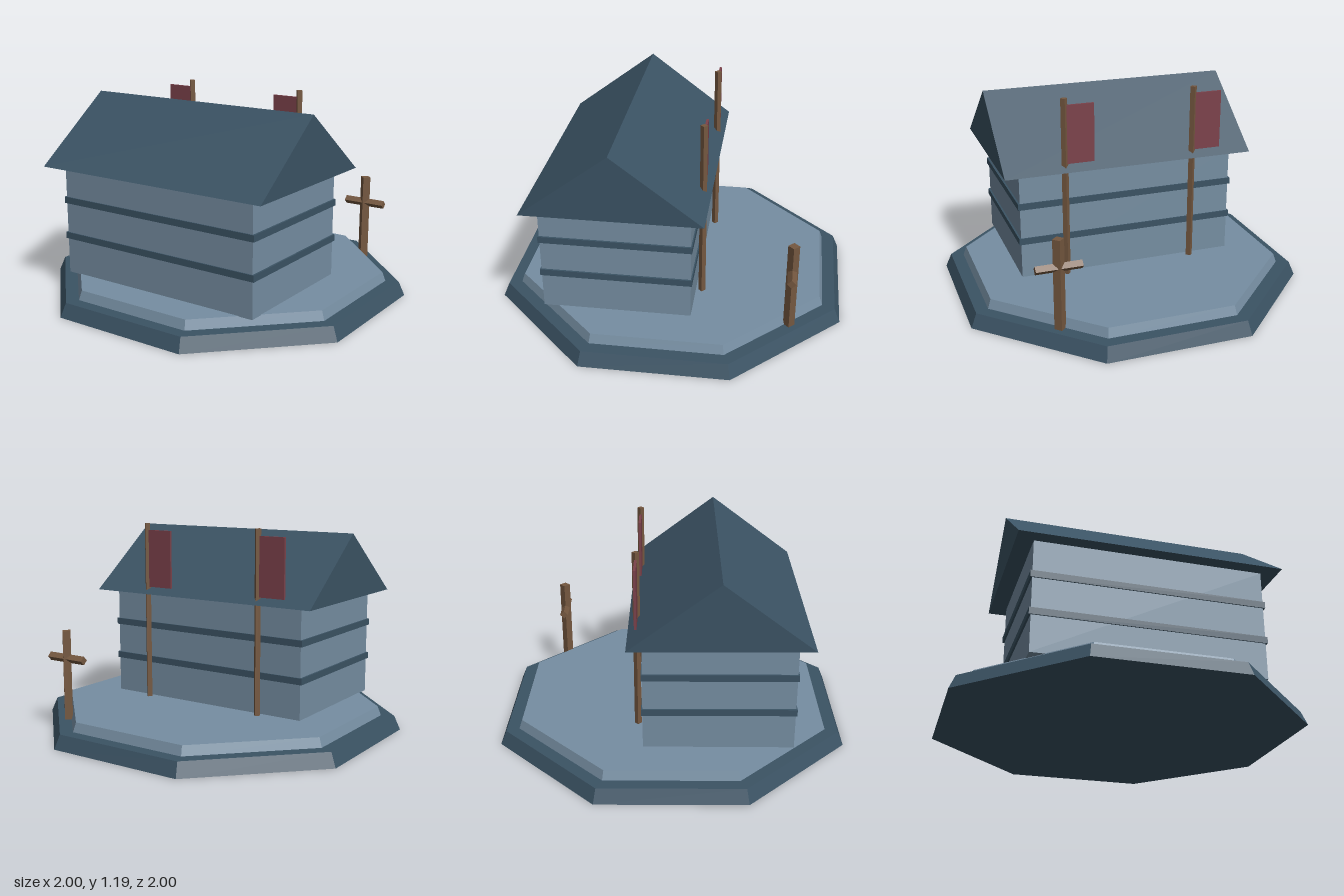
import * as THREE from 'three';

const material = (name, color) => {
  const m = new THREE.MeshStandardMaterial({ color });
  m.name = name;
  m.flatShading = true;
  return m;
};

export function createModel() {
  const model = new THREE.Group();
  model.name = 'house';
  const slate = material('dark slate', 0x3b5364);
  const stone = material('pale stone', 0x768ea2);
  const wood = material('brown wood', 0x755840);
  const cloth = material('red cloth', 0x7c424b);

  const add = (name, geometry, mat, x, y, z, parent = model) => {
    const mesh = new THREE.Mesh(geometry, mat);
    mesh.name = name;
    mesh.position.set(x, y, z);
    parent.add(mesh);
    return mesh;
  };

  // Octagonal tiers, sized by the distance from centre to flat side
  const tier = (name, bottom, top, y0, y1, mat) => {
    const k = 1 / Math.cos(Math.PI / 8);
    const g = new THREE.CylinderGeometry(top * k, bottom * k, y1 - y0, 8).rotateY(Math.PI / 8);
    add(name, g, mat, 0, (y0 + y1) / 2, 0);
  };
  tier('lowerBase', 1, 0.967, 0, 0.08, slate);
  tier('upperBase', 0.895, 0.877, 0.08, 0.133, stone);

  // Walls with two trim bands
  const houseZ = 0.26;
  add('walls', new THREE.BoxGeometry(1.29, 0.64, 0.84), stone, 0, 0.45, houseZ);
  for (const y of [0.357, 0.57]) {
    add('trimBand', new THREE.BoxGeometry(1.312, 0.038, 0.854), slate, 0, y, houseZ);
  }

  // Gable roof
  const gable = new THREE.Shape([
    new THREE.Vector2(-0.5, 0),
    new THREE.Vector2(0.5, 0),
    new THREE.Vector2(0, 0.378),
  ]);
  const roof = new THREE.ExtrudeGeometry(gable, { depth: 1.48, bevelEnabled: false });
  roof.translate(0, 0, -0.74).rotateY(-Math.PI / 2);
  add('roof', roof, slate, 0, 0.77, houseZ);

  // Banners on tall poles behind the house
  for (const x of [-0.387, 0.385]) {
    const banner = new THREE.Group();
    banner.name = 'banner';
    banner.position.set(x, 0, -0.195);
    model.add(banner);
    add('pole', new THREE.CylinderGeometry(0.02, 0.02, 1.06, 4), wood, 0, 0.66, 0, banner);
    add('flag', new THREE.BoxGeometry(0.17, 0.34, 0.014), cloth, -0.087, 0.98, 0, banner);
  }

  // Wooden signpost at the back corner
  const signpost = new THREE.Group();
  signpost.name = 'signpost';
  signpost.position.set(0.577, 0, -0.708);
  model.add(signpost);
  add('post', new THREE.CylinderGeometry(0.032, 0.032, 0.52, 4), wood, 0, 0.34, 0, signpost);
  const bar = new THREE.CylinderGeometry(0.025, 0.025, 0.256, 4).rotateZ(Math.PI / 2);
  add('crossbar', bar, wood, 0, 0.438, 0, signpost);

  return model;
}
